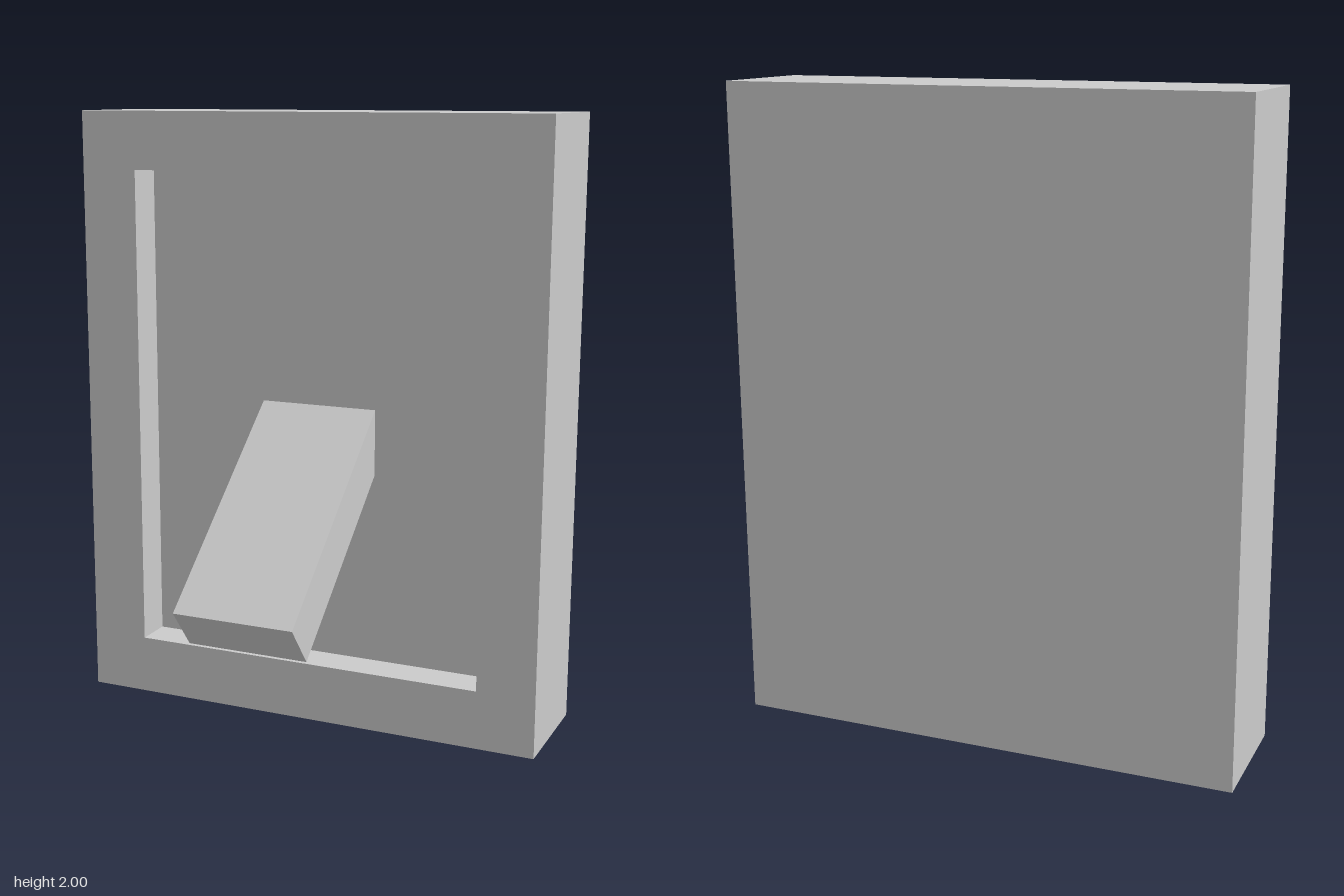
import * as THREE from 'three';

const BACK = -0.46, FRONT = -0.063, RECESS = -0.19;

function rectangle(PathType, x, y0, y1) {
  const path = new PathType();
  path.moveTo(-x, y0);
  path.lineTo(x, y0);
  path.lineTo(x, y1);
  path.lineTo(-x, y1);
  path.closePath();
  return path;
}

export function createModel() {
  const group = new THREE.Group();
  group.name = 'wallSwitch';
  const material = new THREE.MeshStandardMaterial({ color: 0xcccccc, flatShading: true });

  function add(name, geometry) {
    const mesh = new THREE.Mesh(geometry, material);
    mesh.name = name;
    group.add(mesh);
    return mesh;
  }

  // Solid back of the plate, forming the floor of the recess
  const depth = RECESS - BACK;
  add('backPlate', new THREE.BoxGeometry(1.6, 2, depth)).position.set(0, 1, BACK + depth / 2);

  // Raised rim around the recess
  const rim = rectangle(THREE.Shape, 0.8, 0, 2);
  rim.holes.push(rectangle(THREE.Path, 0.605, 0.195, 1.81));
  add('frame', new THREE.ExtrudeGeometry(rim, { depth: FRONT - RECESS, bevelEnabled: false }))
    .position.z = RECESS;

  // Sloping lever: side profile in (z, y), extruded across x, its root flush with the recess floor
  const profile = new THREE.Shape([
    [RECESS, 0.832], [0.355, 0.375], [0.46, 0.505], [RECESS, 1.051],
  ].map(([z, y]) => new THREE.Vector2(z, y)));
  const lever = new THREE.ExtrudeGeometry(profile, { depth: 0.4, bevelEnabled: false });
  lever.translate(0, 0, -0.2);
  lever.rotateY(-Math.PI / 2);
  add('lever', lever);

  return group;
}
